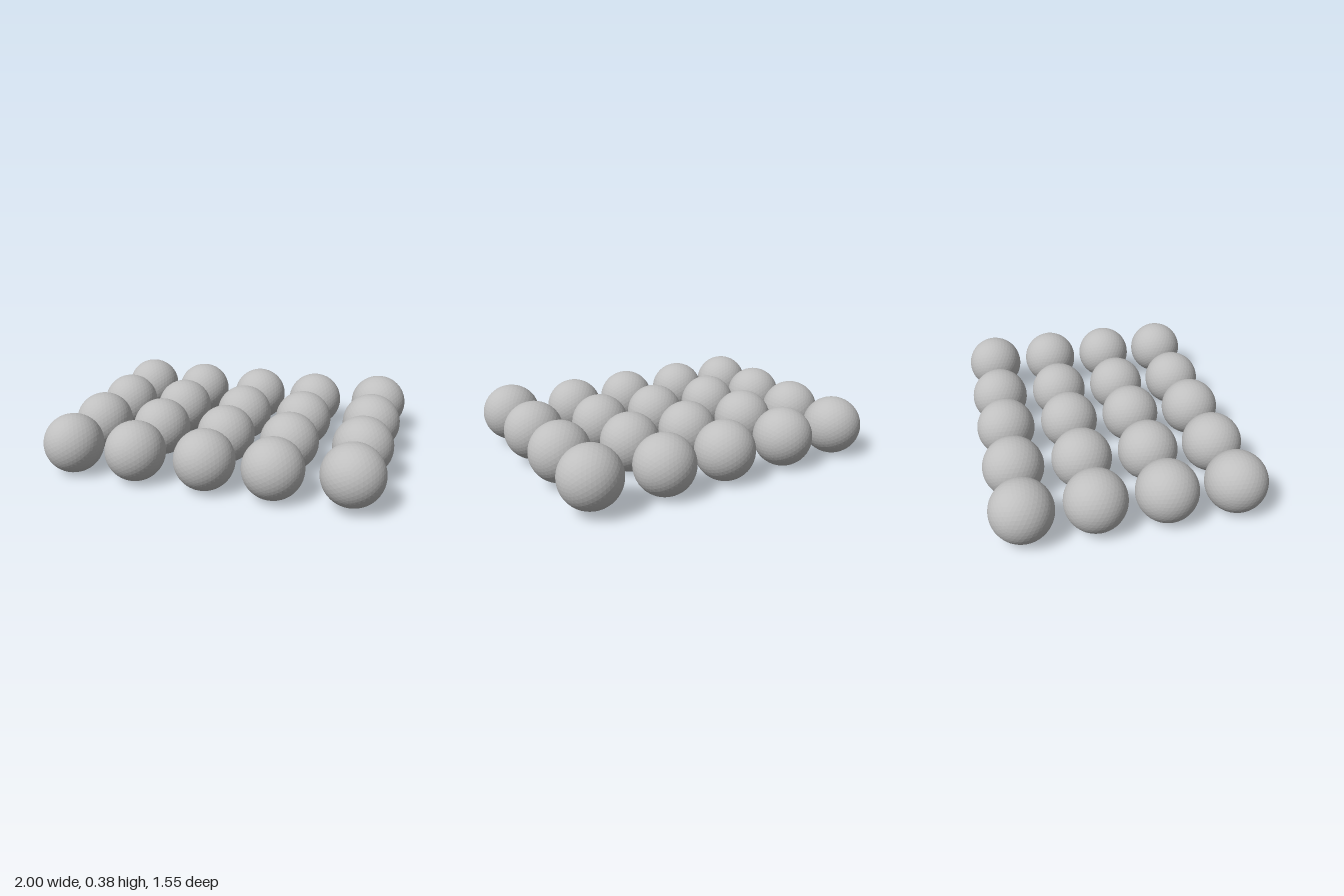
import * as THREE from 'three';

export function createModel() {
  const model = new THREE.Group();
  model.name = 'ballGrid';

  const grey = new THREE.MeshStandardMaterial({ color: 0xbfbfbf, flatShading: true });
  grey.name = 'plain grey';

  const radius = 0.176;
  const ball = new THREE.IcosahedronGeometry(radius, 7);

  // Columns of balls; the last one sits slightly higher and further forward
  const columns = [
    { x: -0.824, y: radius, z: -0.598 },
    { x: -0.428, y: radius, z: -0.598 },
    { x: -0.007, y: radius, z: -0.598 },
    { x: 0.389, y: radius, z: -0.598 },
    { x: 0.824, y: 0.203, z: -0.59 },
  ];
  const rows = 4;
  const rowSpacing = 0.396;

  columns.forEach((column, c) => {
    const group = new THREE.Group();
    group.name = `ballColumn${c + 1}`;
    group.position.set(column.x, column.y, column.z);
    for (let r = 0; r < rows; r++) {
      const mesh = new THREE.Mesh(ball, grey);
      mesh.name = `ball${c + 1}_${r + 1}`;
      mesh.position.z = r * rowSpacing;
      group.add(mesh);
    }
    model.add(group);
  });

  return model;
}
